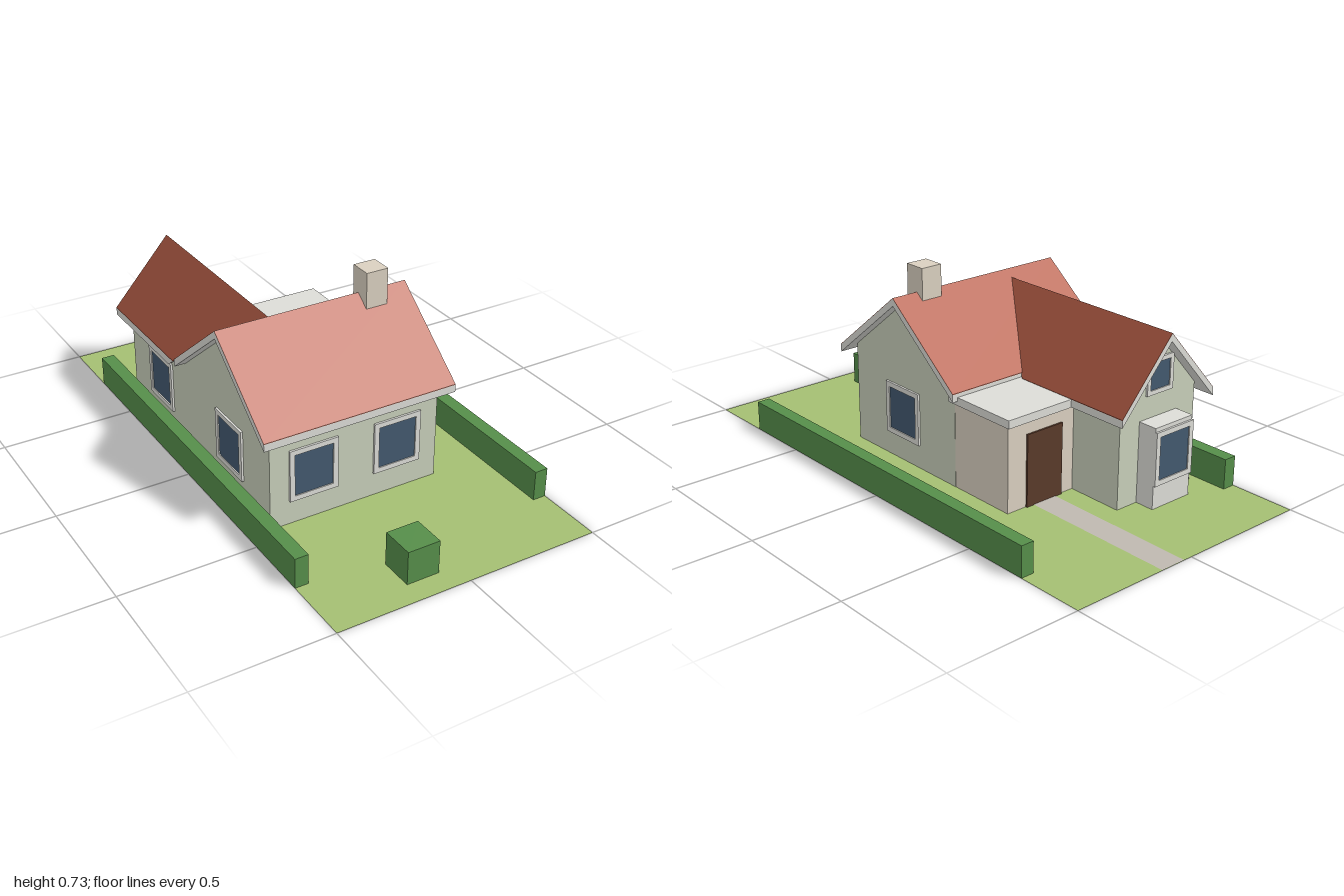
import * as THREE from 'three';

const mat = (color) => new THREE.MeshStandardMaterial({ color, flatShading: true, side: THREE.DoubleSide });
const M = {
  grass: mat(0xa4bf72), path: mat(0xbfb8b0), hedge: mat(0x568e4a), wall: mat(0xc8cfba), trim: mat(0xdcdcd7),
  roof: mat(0xb55b43), wingRoof: mat(0x9b4f3c), glass: mat(0x43596f), stone: mat(0xdad0c0), door: mat(0x5a3a2a),
};

// Chevron roofs: rise per unit of run, ridge height and half span
const MAIN = { ridge: 0.632, eave: 0.372, half: 0.325, mid: 0.157 };
const WING = { ridge: 0.607, eave: 0.357, half: 0.223, mid: -0.233 };
const THICK = 0.028;

export function createModel() {
  const model = new THREE.Group();

  function add(name, geometry, material, parent = model) {
    const mesh = new THREE.Mesh(geometry, material);
    mesh.name = name;
    parent.add(mesh);
    return mesh;
  }

  // Box given by its limits
  function box(name, material, x0, x1, y0, y1, z0, z1) {
    const g = new THREE.BoxGeometry(x1 - x0, y1 - y0, z1 - z0);
    g.translate((x0 + x1) / 2, (y0 + y1) / 2, (z0 + z1) / 2);
    return add(name, g, material);
  }

  // Outline in (u, y) pulled along z
  function extrude(points, z0, z1) {
    const shape = new THREE.Shape(points.map(([u, y]) => new THREE.Vector2(u, y)));
    const g = new THREE.ExtrudeGeometry(shape, { depth: z1 - z0, bevelEnabled: false });
    return g.translate(0, 0, z0);
  }

  const chevron = ({ ridge, eave, half }, t, lift = 0) => [
    [-half, eave + lift], [-half, eave - t], [0, ridge - t], [half, eave - t], [half, eave + lift], [0, ridge + lift],
  ];

  // Wall outline that runs up to the underside of a roof
  function gable({ ridge, eave, half }, inset) {
    const slope = (ridge - eave) / half;
    const w = half - inset;
    const top = ridge - THICK;
    return [[-w, 0], [w, 0], [w, top - slope * w], [0, top], [-w, top - slope * w]];
  }

  // Garden
  const lawn = add('lawn', new THREE.PlaneGeometry(1, 2), M.grass);
  lawn.rotation.x = -Math.PI / 2;
  const path = add('gardenPath', new THREE.PlaneGeometry(0.1, 0.6), M.path);
  path.rotation.x = -Math.PI / 2;
  path.position.set(0.085, 0.002, -0.7);
  box('leftHedge', M.hedge, 0.45, 0.5, 0, 0.113, -0.75, 0.75);
  box('rightHedge', M.hedge, -0.5, -0.45, 0, 0.113, -0.75, 0.75);
  box('bush', M.hedge, -0.187, -0.065, 0, 0.125, 0.79, 0.915);

  // Main house: outline drawn across z, pulled along x
  const across = (g) => g.rotateY(Math.PI / 2).translate(0, 0, MAIN.mid);
  add('mainWalls', across(extrude(gable(MAIN, 0.042), -0.415, 0.248)), M.wall);
  add('mainRoofTrim', across(extrude(chevron(MAIN, THICK), -0.457, 0.292)), M.trim);
  add('mainRoofTiles', across(extrude(chevron(MAIN, 0, 0.002), -0.457, 0.292)), M.roof);

  // Rear wing: the inner end of its roof is cut to the slope of the main roof
  function cutToMainRoof(g) {
    const p = g.attributes.position;
    const slope = (MAIN.ridge - MAIN.eave) / MAIN.half;
    for (let i = 0; i < p.count; i++) {
      if (p.getZ(i) > -0.5) p.setZ(i, MAIN.mid - (MAIN.ridge - p.getY(i)) / slope + 0.003);
    }
    g.computeVertexNormals();
    return g.translate(WING.mid, 0, 0);
  }
  add('wingWalls', extrude(gable(WING, 0.042), -0.62, -0.05).translate(WING.mid, 0, 0), M.wall);
  add('wingRoofTrim', cutToMainRoof(extrude(chevron(WING, THICK), -0.67, 0)), M.trim);
  add('wingRoofTiles', cutToMainRoof(extrude(chevron(WING, 0, 0.002), -0.67, 0)), M.wingRoof);

  // Chimney
  box('chimney', M.stone, 0.1, 0.185, 0.56, 0.727, 0.125, 0.21);

  // Entrance porch
  box('porchWalls', M.stone, -0.06, 0.247, 0, 0.33, -0.4, -0.1);
  box('porchRoof', M.trim, -0.04, 0.271, 0.328, 0.358, -0.43, -0.12);
  box('frontDoor', M.door, 0.005, 0.165, 0, 0.27, -0.407, -0.39);

  // Bay on the wing
  box('bay', M.trim, -0.325, -0.145, 0, 0.3, -0.695, -0.6);

  // Window facing +z, then turned; (x, y, z) is its centre on the wall
  function addWindow(x, y, z, turn, w = 0.187, h = 0.198, border = 0.019) {
    const group = new THREE.Group();
    group.name = 'window';
    const a = w / 2, b = h / 2, c = a - border, d = b - border;
    const shape = new THREE.Shape([[-a, -b], [a, -b], [a, b], [-a, b]].map((q) => new THREE.Vector2(...q)));
    shape.holes.push(new THREE.Path([[-c, -d], [-c, d], [c, d], [c, -d]].map((q) => new THREE.Vector2(...q))));
    add('windowFrame', new THREE.ExtrudeGeometry(shape, { depth: 0.008, bevelEnabled: false }), M.trim, group);
    add('windowGlass', new THREE.BoxGeometry(2 * c, 2 * d, 0.008), M.glass, group);
    group.position.set(x, y, z);
    group.rotation.y = turn;
    model.add(group);
  }
  const Q = Math.PI / 2;
  addWindow(-0.248, 0.189, 0.44, 0);
  addWindow(0.083, 0.189, 0.44, 0);
  addWindow(0.248, 0.189, 0.165, Q);
  addWindow(-0.415, 0.189, 0.165, -Q);
  addWindow(-0.415, 0.189, -0.37, -Q);
  addWindow(-0.235, 0.186, -0.695, 2 * Q, 0.18);
  addWindow(-0.233, 0.45, -0.62, 2 * Q, 0.125, 0.13, 0.016);

  return model;
}
